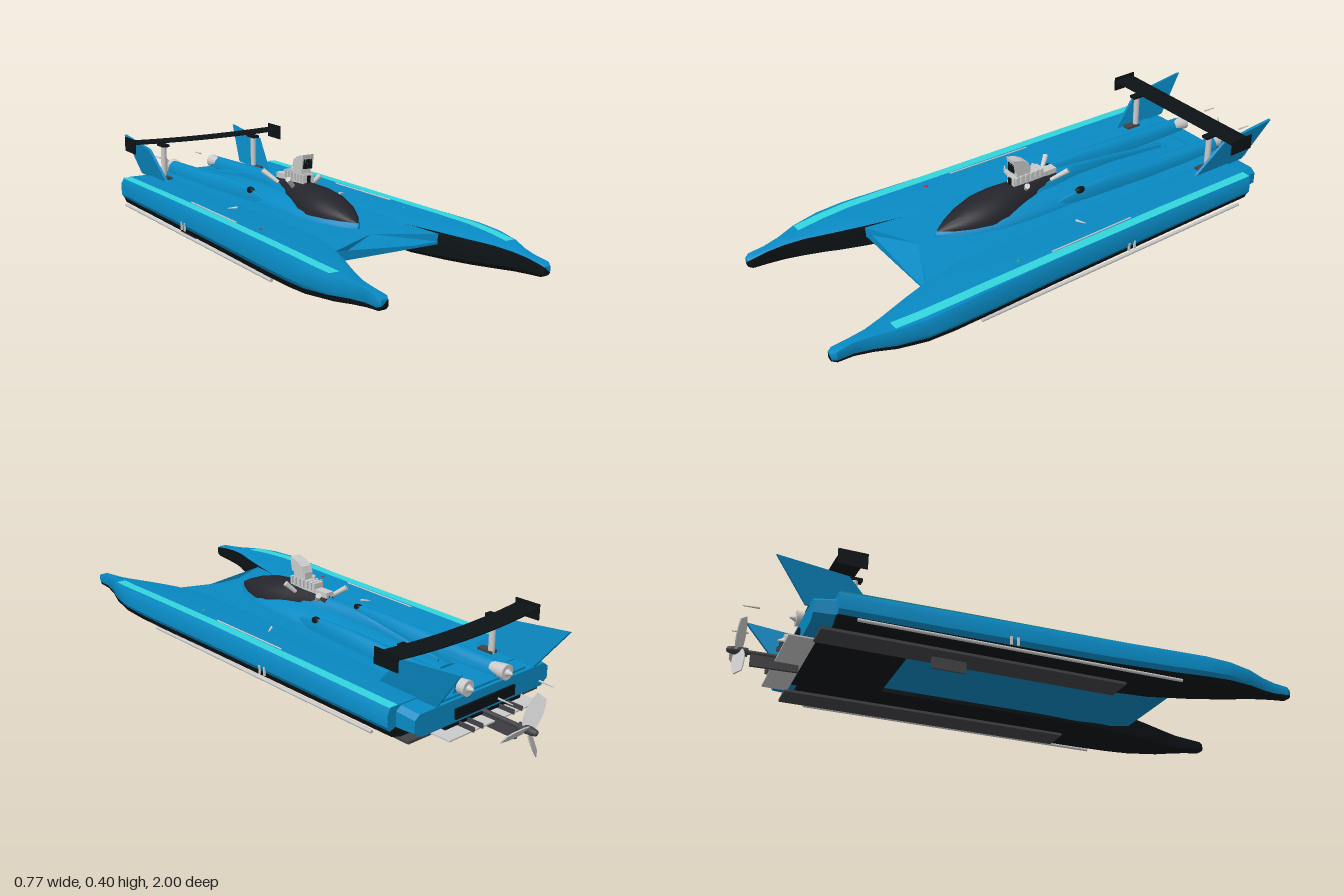
import * as THREE from 'three';
import { toCreasedNormals } from 'three/addons/utils/BufferGeometryUtils.js';

const BLUE = 0x088ac4, BLACK = 0x0c1215, GLASS = 0x24242c, AQUA = 0x33d6de, GREY = 0xcccccc, DARK = 0x444448;

export function createModel() {
  const model = new THREE.Group();
  const V = (x, y, z) => new THREE.Vector3(x, y, z);

  function add(name, geo, color, parent = model) {
    const mat = new THREE.MeshStandardMaterial({ color, side: THREE.DoubleSide });
    const mesh = new THREE.Mesh(geo, mat);
    mesh.name = name;
    parent.add(mesh);
    return mesh;
  }
  function box(name, w, h, d, x, y, z, color) {
    return add(name, new THREE.BoxGeometry(w, h, d).translate(x, y, z), color);
  }
  function rod(name, a, b, ra, rb, color, sides = 14) {
    const dir = b.clone().sub(a);
    const m = add(name, new THREE.CylinderGeometry(rb, ra, dir.length(), sides), color);
    m.position.copy(a).add(b).multiplyScalar(0.5);
    m.quaternion.setFromUnitVectors(V(0, 1, 0), dir.normalize());
    return m;
  }
  // Skin rings of points, ordered stern to bow, counter-clockwise seen from the bow
  function loft(rings, closed, crease = 0.5, caps = true) {
    const n = rings[0].length, pos = rings.flat().flatMap(p => [p.x, p.y, p.z]), idx = [];
    for (let i = 0; i < rings.length - 1; i++) {
      for (let j = 0; j < (closed ? n : n - 1); j++) {
        const k = (j + 1) % n, a = i * n + j, b = i * n + k;
        idx.push(a, b, b + n, a, b + n, a + n);
      }
    }
    const last = (rings.length - 1) * n;
    for (let j = 1; caps && j < n - 1; j++) idx.push(0, j + 1, j, last, last + j, last + j + 1);
    const geo = new THREE.BufferGeometry();
    geo.setAttribute('position', new THREE.Float32BufferAttribute(pos, 3));
    geo.setIndex(idx);
    return toCreasedNormals(geo, crease);
  }
  // Half-ellipse fairing from rows of [z, halfWidth, topY]
  function fairing(rows, base, x0 = 0) {
    return loft(rows.map(([z, w, top]) => Array.from({ length: 17 }, (_, i) => {
      const a = Math.PI * i / 16;
      return V(x0 + w * Math.cos(a), base + (top - base) * Math.sin(a), z);
    })), true, 0.7);
  }
  // Side outline [z, y] extruded across x, centred on x = 0
  function slab(points, width) {
    const shape = new THREE.Shape(points.map(p => new THREE.Vector2(...p)));
    return new THREE.ExtrudeGeometry(shape, { depth: width, bevelEnabled: false })
      .translate(0, 0, -width / 2).rotateY(-Math.PI / 2);
  }

  // Side hulls: [z, inner x, outer x, bottom y, top y, stripe centre x]
  const hullRows = [
    [-0.72, 0.15, 0.358, 0.091, 0.2, 0.335], [-0.3, 0.15, 0.362, 0.091, 0.207, 0.337],
    [0.2, 0.15, 0.37, 0.093, 0.212, 0.34], [0.45, 0.165, 0.38, 0.098, 0.214, 0.344],
    [0.6, 0.198, 0.386, 0.105, 0.214, 0.346], [0.7, 0.228, 0.383, 0.111, 0.21, 0.342],
    [0.8, 0.262, 0.36, 0.12, 0.205, 0.332], [0.87, 0.279, 0.332, 0.129, 0.198], [0.93, 0.283, 0.318, 0.136, 0.193],
    [0.985, 0.28, 0.32, 0.142, 0.186], [1.0, 0.287, 0.312, 0.15, 0.178]];
  const upper = [[0.95, 0.28], [1, 0.42], [1, 0.82], [0.95, 1], [0.2, 1], [0.02, 0.93]];
  const lower = [[0.02, 0.93], [0, 0.7], [0, 0.2], [0.22, 0], [0.72, 0], [0.91, 0.1], [0.95, 0.28]];
  const sided = (ring, s) => (s < 0 ? ring.reverse() : ring);
  const hullRings = (section, s) => hullRows.map(([z, xi, xo, yb, yt]) =>
    sided(section.map(([u, v]) => V(s * (xi + (xo - xi) * u), yb + (yt - yb) * v, z)), s));

  for (const s of [1, -1]) {
    const side = s > 0 ? 'left' : 'right';
    add(side + 'HullTop', loft(hullRings(upper, s), false), BLUE);
    add(side + 'HullBottom', loft(hullRings(lower, s), false), BLACK);
    add(side + 'HullStripe', loft(hullRows.slice(0, 7).map(([z, , , , yt, x]) =>
      sided([0.018, -0.018].map(d => V(s * (x + d), yt + 0.002, z)), s)), false, 0.5, false), AQUA);
    box(side + 'Runner', 0.1, 0.01, 1.07, s * 0.258, 0.086, -0.225, DARK);
    rod(side + 'ChineRail', V(s * 0.364, 0.105, -0.66), V(s * 0.366, 0.106, 0.5), 0.006, 0.006, GREY, 8);
    rod(side + 'DeckRail', V(s * 0.311, 0.209, -0.17), V(s * 0.316, 0.213, 0.18), 0.003, 0.003, GREY, 6);
    for (const z of [-0.12, -0.145]) box(side + 'SideVent', 0.006, 0.03, 0.008, s * 0.365, 0.135, z, GREY);
    rod(side + 'Cleat', V(s * 0.245, 0.209, -0.02), V(s * 0.215, 0.213, 0), 0.002, 0.005, GREY, 8);
    add(side + 'NavigationLight', new THREE.SphereGeometry(0.008, 10, 6).scale(1, 0.5, 1).translate(s * 0.29, 0.212, 0.3),
      s > 0 ? 0x1fa060 : 0xc02020);

    // Engine nacelle and exhaust
    add(side + 'Nacelle', fairing([[-0.77, 0.03, 0.237], [-0.6, 0.036, 0.243], [-0.38, 0.036, 0.253],
      [-0.25, 0.029, 0.256], [-0.13, 0.02, 0.253], [-0.03, 0.01, 0.235], [0.02, 0.003, 0.21]], 0.19, s * 0.099), BLUE);
    rod(side + 'Exhaust', V(s * 0.094, 0.214, -0.74), V(s * 0.092, 0.214, -0.8), 0.022, 0.027, GREY);
    rod(side + 'ExhaustCone', V(s * 0.092, 0.214, -0.79), V(s * 0.092, 0.214, -0.82), 0.018, 0.003, GREY);
    rod(side + 'ExhaustProbe', V(s * 0.097, 0.224, -0.92), V(s * 0.097, 0.222, -0.975), 0.004, 0.002, GREY, 6);
    add(side + 'Intake', new THREE.SphereGeometry(1, 14, 8).scale(0.012, 0.016, 0.026)
      .translate(s * 0.1, 0.238, -0.11), BLACK);

    // Tail fin leaning outward
    add(side + 'Fin', slab([[-0.55, -0.005], [-0.8, -0.005], [-0.91, 0.143], [-0.67, 0.118]], 0.01)
      .rotateZ(-s * 0.18).translate(s * 0.23, 0.2, 0), BLUE);

    // Wing supports and end plates
    rod(side + 'WingStrut', V(s * 0.205, 0.2, -0.64), V(s * 0.205, 0.335, -0.64), 0.0115, 0.0115, GREY);
    box(side + 'StrutCap', 0.028, 0.01, 0.06, s * 0.205, 0.334, -0.645, BLACK);
    box(side + 'StrutFoot', 0.03, 0.01, 0.06, s * 0.207, 0.206, -0.62, DARK);
    box(side + 'WingEndPlate', 0.004, 0.056, 0.1, s * 0.33, 0.338, -0.68, BLACK);

    // Engine pipes
    for (const [z, zEnd] of [[0.08, 0.1], [-0.03, -0.08]])
      rod(side + 'EnginePipe', V(s * 0.03, 0.278, z), V(s * 0.067, 0.317, zEnd), 0.007, 0.01, GREY);

    // Trim tab brackets
    for (const x of [0.075, 0.115]) box(side + 'TabBracket', 0.005, 0.016, 0.08, s * x, 0.1, -0.81, DARK);
  }

  // Centre deck with a triangular slope cut into the bow: [z, slope half width, top y, slope y, bottom y]
  const deckRows = [[-0.78, 0.002, 0.196, 0.196, 0.13], [-0.3, 0.002, 0.205, 0.205, 0.13],
    [0.35, 0.002, 0.208, 0.208, 0.13], [0.51, 0.002, 0.205, 0.205, 0.142], [0.603, 0.2, 0.2, 0.174, 0.165]];
  add('deck', loft(deckRows.map(([z, w, yt, yw, yb]) => [V(0.21, yb, z), V(0.21, yt, z), V(w, yt, z), V(w, yw, z),
    V(-w, yw, z), V(-w, yt, z), V(-0.21, yt, z), V(-0.21, yb, z)]), true, 0.2), BLUE);

  // Stern block, tunnel floor and transom plate
  const sternRing = (z, w, top) => [V(w - 0.03, 0.11, z), V(w, 0.13, z), V(w, top - 0.015, z), V(w - 0.02, top, z),
    V(0.02 - w, top, z), V(-w, top - 0.015, z), V(-w, 0.13, z), V(0.03 - w, 0.11, z)];
  add('stern', loft([sternRing(-0.79, 0.315, 0.187), sternRing(-0.7, 0.325, 0.199)], true), BLUE);
  box('tunnelFloor', 0.36, 0.035, 0.35, 0, 0.115, -0.615, BLACK);
  box('transomPlate', 0.28, 0.035, 0.012, 0, 0.14, -0.792, BLACK);
  box('trimTab', 0.43, 0.005, 0.09, 0, 0.09, -0.795, GREY);

  // Cockpit body, spine and canopy
  add('body', fairing([[-0.62, 0.05, 0.208], [-0.35, 0.085, 0.238], [-0.15, 0.113, 0.252], [0, 0.116, 0.258],
    [0.12, 0.112, 0.26], [0.22, 0.103, 0.256], [0.32, 0.075, 0.247], [0.39, 0.042, 0.235], [0.44, 0.006, 0.22]], 0.195), BLUE);
  add('spine', fairing([[-0.59, 0.005, 0.222], [-0.45, 0.01, 0.242], [-0.3, 0.017, 0.268], [-0.15, 0.03, 0.287],
    [-0.04, 0.05, 0.293], [0.06, 0.062, 0.287], [0.12, 0.06, 0.27]], 0.19), BLUE);
  add('canopy', fairing([[-0.065, 0.034, 0.297], [0.03, 0.045, 0.302], [0.12, 0.068, 0.303], [0.19, 0.083, 0.301],
    [0.26, 0.083, 0.292], [0.33, 0.063, 0.273], [0.39, 0.034, 0.249], [0.43, 0.005, 0.228]], 0.225), GLASS);

  // Engine with cooling ribs and air scoop
  box('engineBlock', 0.042, 0.035, 0.13, 0, 0.313, 0.06, GREY);
  box('engineBelt', 0.012, 0.045, 0.01, 0, 0.305, 0.127, BLACK);
  box('engineRear', 0.034, 0.02, 0.07, 0, 0.3, -0.03, GREY);
  for (let i = 0; i < 6; i++) box('engineRib', 0.056, 0.028, 0.008, 0, 0.319, 0.01 + i * 0.021, GREY);
  box('scoopBase', 0.036, 0.03, 0.06, 0, 0.342, 0.08, GREY);
  add('airScoop', slab([[0.117, 0.352], [0.126, 0.403], [0.09, 0.394], [0.062, 0.378], [0.052, 0.352]], 0.044), GREY);
  for (let i = 0; i < 4; i++) box('scoopSlot', 0.007, 0.034, 0.004, -0.0135 + i * 0.009, 0.369, 0.121, BLACK);

  // Rear wing, dipping slightly at the middle
  const wing = new THREE.BoxGeometry(0.66, 0.009, 0.09, 16, 1, 4), p = wing.attributes.position;
  for (let i = 0; i < p.count; i++) {
    const dip = 1 - (p.getX(i) / 0.33) ** 2, t = p.getZ(i) / 0.045;
    p.setY(i, p.getY(i) * (1 - 0.6 * t * t) + 0.349 - 0.009 * dip);
    p.setZ(i, p.getZ(i) - 0.68 - 0.012 * dip);
  }
  wing.computeVertexNormals();
  add('rearWing', wing, BLACK);

  // Skid fin, rudder and drive shaft
  box('skidFin', 0.006, 0.05, 0.12, -0.255, 0.065, -0.32, DARK);
  add('rudder', slab([[-0.76, 0.105], [-0.76, 0.062], [-0.92, 0.058], [-0.92, 0.1]], 0.01), DARK);
  rod('driveShaft', V(0, 0.108, -0.76), V(0, 0.105, -0.95), 0.008, 0.008, DARK);

  // Three-bladed propeller
  const propeller = new THREE.Group();
  propeller.name = 'propeller';
  propeller.position.set(0, 0.105, -0.96);
  model.add(propeller);
  const profile = [[0, -0.04], [0.01, -0.035], [0.014, -0.015], [0.015, 0.03], [0, 0.03]];
  add('propellerHub', new THREE.LatheGeometry(profile.map(q => new THREE.Vector2(...q)), 16).rotateX(Math.PI / 2), DARK, propeller);
  const leaf = new THREE.Shape();
  leaf.moveTo(-0.02, 0.006);
  leaf.quadraticCurveTo(-0.036, 0.05, -0.02, 0.108);
  leaf.lineTo(0.014, 0.116);
  leaf.quadraticCurveTo(0.036, 0.05, 0.02, 0.006);
  for (let i = 0; i < 3; i++) {
    const blade = new THREE.ExtrudeGeometry(leaf, { depth: 0.004, bevelEnabled: false, curveSegments: 8 })
      .translate(0, 0, -0.002).rotateY(-0.65).rotateZ((31 + 120 * i) * Math.PI / 180);
    add('propellerBlade', blade, GREY, propeller);
  }
  return model;
}
